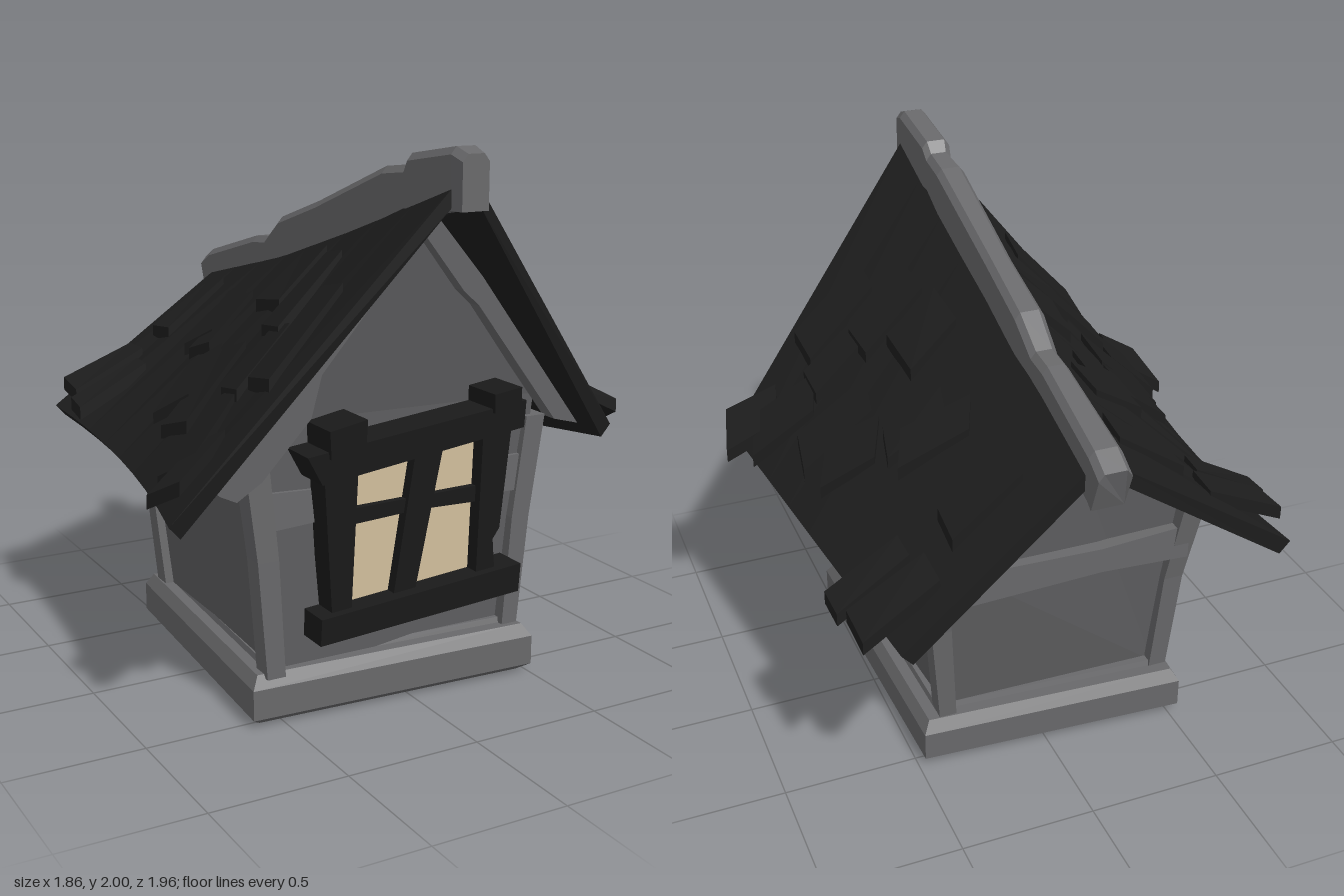
import * as THREE from 'three';

const mat = (name, color) => Object.assign(new THREE.MeshStandardMaterial({ color }), { name });
const lerp = THREE.MathUtils.lerp;

// Closed solid through matching cross-sections, flat faces, wound outward
function loft(rings) {
  const tris = [], n = rings[0].length;
  const cap = r => { for (let i = 1; i < n - 1; i++) tris.push([r[0], r[i], r[i + 1]]); };
  for (let k = 0; k < rings.length - 1; k++) {
    const a = rings[k], b = rings[k + 1];
    for (let i = 0; i < n; i++) {
      const j = (i + 1) % n;
      tris.push([a[i], a[j], b[j]], [a[i], b[j], b[i]]);
    }
  }
  cap([...rings[0]].reverse());
  cap(rings[rings.length - 1]);
  const v = p => new THREE.Vector3(...p);
  const volume = tris.reduce((s, t) => s + v(t[0]).dot(v(t[1]).cross(v(t[2]))), 0);
  if (volume < 0) tris.forEach(t => t.reverse());
  const g = new THREE.BufferGeometry();
  g.setAttribute('position', new THREE.Float32BufferAttribute(tris.flat(2), 3));
  g.computeVertexNormals();
  return g;
}

// Outline in x,y extruded from z0 to z1, leaning along z with height
function prism(points, z0, z1, lean = 0) {
  const shape = new THREE.Shape(points.map(p => new THREE.Vector2(...p)));
  const g = new THREE.ExtrudeGeometry(shape, { depth: z1 - z0, bevelEnabled: false });
  const p = g.attributes.position;
  for (let i = 0; i < p.count; i++) p.setZ(i, p.getZ(i) + z0 + lean * (p.getY(i) - 0.4));
  g.computeVertexNormals();
  return g;
}

const rect = (x0, x1, z0, z1, y) => [[x0, y, z0], [x1, y, z0], [x1, y, z1], [x0, y, z1]];

// Skewed plinth outline, shrunk toward its middle
const corners = [[-0.62, 0.55], [0.51, 0.605], [0.475, -0.55], [-0.54, -0.612]];
const outline = (y, k) => corners.map(([x, z]) => [-0.05 + (x + 0.05) * k, y, z * k]);

// Ridge height along z
const ridgeLine = [[0.93, 1.88], [0.14, 1.62], [-0.34, 1.48], [-0.88, 1.36]];
function ridgeY(z) {
  let i = 0;
  while (i < 2 && z < ridgeLine[i + 1][0]) i++;
  const [a, b] = [ridgeLine[i], ridgeLine[i + 1]];
  return lerp(a[1], b[1], (z - a[0]) / (b[0] - a[0]));
}

// Roof slope: t runs ridge to eave, u runs front to back
const eaves = {
  '1': { x: [0.86, 0.66], bow: 0, y: [0.91, 0.80], back: -0.88 },
  '-1': { x: [-0.93, -0.81], bow: 0.2, y: [0.79, 0.87], back: -0.85 },
};
const ridgeX = side => -0.04 + side * 0.045;
const eaveX = (side, u) => lerp(...eaves[side].x, u) + eaves[side].bow * u * (1 - u);
function roofPoint(side, t, u) {
  const e = eaves[side], rz = lerp(0.93, -0.88, u);
  return [
    lerp(ridgeX(side), eaveX(side, u), t),
    lerp(ridgeY(rz), lerp(...e.y, u), t),
    lerp(rz, lerp(0.58, e.back, u), t),
  ];
}
function roofY(side, x, z) {
  let t = 0.5, u = 0.5;
  for (let i = 0; i < 8; i++) {
    const zf = lerp(0.93, 0.58, t), zb = lerp(-0.88, eaves[side].back, t);
    u = (zf - z) / (zf - zb);
    t = (x - ridgeX(side)) / (eaveX(side, u) - ridgeX(side));
  }
  return roofPoint(side, t, u)[1];
}

// Shingles: x, z, width down the slope, depth, turn, upward kick of the lower end
const shingles = [
  [0.64, -0.72, 0.28, 0.16, -0.04, 0.06], [0.68, -0.56, 0.27, 0.12, -0.06, 0.06], [0.30, -0.64, 0.25, 0.15, 0.02, 0],
  [0.33, -0.28, 0.25, 0.14, 0.42, 0], [0.37, -0.18, 0.21, 0.13, 0.2, 0], [0.57, -0.04, 0.2, 0.17, 0.45, 0],
  [0.58, 0.12, 0.26, 0.17, 0.15, 0], [0.23, 0.12, 0.19, 0.22, -0.08, 0], [0.30, 0.33, 0.24, 0.16, -0.1, 0],
  [0.71, 0.37, 0.24, 0.17, 0.3, 0.01], [0.81, 0.48, 0.2, 0.18, 0.25, 0.06], [0.50, 0.37, 0.2, 0.14, -0.05, 0],
  [0.44, 0.55, 0.27, 0.18, -0.06, 0],
];
function shingle(side, [x, z, w, d, turn, kick]) {
  const g = new THREE.BoxGeometry(w, 1, d).toNonIndexed();
  const p = g.attributes.position;
  // Narrow the upper end slightly and lift the lower end off the roof
  const lower = i => p.getX(i) * side > 0;
  for (let i = 0; i < p.count; i++) if (!lower(i)) p.setZ(i, p.getZ(i) * 0.88);
  const lift = Array.from({ length: p.count }, (_, i) =>
    p.getY(i) > 0 ? (lower(i) ? 0.05 + kick : 0.03) : (lower(i) ? kick : -0.02));
  g.rotateY(-side * turn);
  g.translate(side * x - 0.01, 0, z);
  for (let i = 0; i < p.count; i++) p.setY(i, roofY(side, p.getX(i), p.getZ(i)) + lift[i]);
  g.computeVertexNormals();
  return g;
}

export function createModel() {
  const house = new THREE.Group();
  house.name = 'house';
  const trim = mat('trim grey', 0x68686a), wall = mat('wall grey', 0x5e5e60);
  const roof = mat('roof black', 0x1d1d1d), frame = mat('frame black', 0x1a1a1a);
  const pane = mat('pane tan', 0xd9c5a2);
  const add = (name, geometry, material) => {
    const m = new THREE.Mesh(geometry, material);
    m.name = name;
    house.add(m);
  };

  // Bevelled plinth
  const plinth = [[0, 0.93], [0.03, 1], [0.14, 1], [0.185, 0.95]];
  add('base', loft(plinth.map(([y, k]) => outline(y, k))), trim);
  add('sill', loft([outline(0.17, 0.88), outline(0.205, 0.86)]), trim);

  // Wall shell, narrower at the back, with leaning gables
  add('walls', loft([
    [[-0.53, 0.17, 0.5], [0.44, 0.17, 0.5], [0.53, 1.06, 0.54], [-0.04, 1.76, 0.66], [-0.6, 1.08, 0.54]],
    [[-0.48, 0.17, -0.49], [0.37, 0.17, -0.47], [0.45, 0.93, -0.56], [-0.04, 1.38, -0.57], [-0.55, 0.96, -0.56]],
  ]), wall);

  // Corner posts, flaring upward: rectangles at foot, bend and head
  const posts = [
    ['frontPost', [-0.565, -0.495, 0.55, 0.465], [-0.6, -0.52, 0.555, 0.47], [-0.65, -0.56, 0.56, 0.47], 0.98],
    ['frontPost', [0.41, 0.475, 0.55, 0.465], [0.44, 0.515, 0.555, 0.47], [0.49, 0.57, 0.56, 0.47], 0.98],
    ['backPost', [-0.515, -0.445, -0.535, -0.455], [-0.55, -0.475, -0.56, -0.49], [-0.595, -0.51, -0.61, -0.53], 0.92],
    ['backPost', [0.34, 0.405, -0.52, -0.44], [0.37, 0.445, -0.565, -0.485], [0.41, 0.485, -0.615, -0.53], 0.9],
  ];
  for (const [name, foot, bend, head, h] of posts)
    add(name, loft([rect(...foot, 0.17), rect(...bend, 0.6), rect(...head, h)]), trim);

  // Cross beams on all four walls
  const crossBeam = [[-0.6, 0.7], [-0.2, 0.72], [0.53, 0.7], [0.53, 0.84], [-0.2, 0.82], [-0.6, 0.84]];
  add('frontBeam', prism(crossBeam, 0.45, 0.545), trim);
  add('backBeam', prism(crossBeam.map(([x, y]) => [x * 0.87 - 0.03, y]), -0.585, -0.5), trim);
  const sideBeam = [[0.48, 0.8, 0.9, 0], [0, 0.73, 0.86, 0.4], [-0.1, 0.75, 0.85, 0.5], [-0.55, 0.69, 0.8, 1]];
  for (const [a0, b0, a1, b1] of [[0.42, 0.525, 0.36, 0.455], [-0.5, -0.6, -0.44, -0.55]])
    add('sideBeam', loft(sideBeam.map(([z, lo, hi, k]) => {
      const a = lerp(a0, a1, k), b = lerp(b0, b1, k);
      return [[a, lo, z], [b, lo, z], [b, hi, z], [a, hi, z]];
    })), trim);

  // Gable boards
  add('frontGableLeft', prism([[-0.05, 1.78], [-0.05, 1.7], [0.13, 1.49], [0.2, 1.43], [0.58, 0.97],
    [0.69, 0.94], [0, 1.78]], 0.46, 0.53, 0.13), trim);
  add('frontGableRight', prism([[-0.05, 1.78], [-0.1, 1.76], [-0.75, 0.87], [-0.69, 0.84], [-0.6, 0.9],
    [-0.43, 1.1], [-0.4, 1.25], [-0.05, 1.7]], 0.46, 0.53, 0.13), trim);
  add('backGableLeft', prism([[-0.04, 1.4], [-0.04, 1.3], [0.25, 1.04], [0.48, 0.82], [0.6, 0.84]],
    -0.62, -0.54), trim);
  add('backGableRight', prism([[-0.04, 1.4], [-0.7, 0.89], [-0.62, 0.85], [-0.32, 1.09], [-0.04, 1.3]],
    -0.62, -0.54), trim);

  // Roof slabs and shingles
  for (const side of [1, -1]) {
    const sections = [];
    for (let k = 0; k <= 8; k++) {
      const top = roofPoint(side, 0, k / 8), low = roofPoint(side, 1, k / 8);
      sections.push([top, low, [low[0] - side * 0.04, low[1] - 0.045, low[2]], [top[0], top[1] - 0.06, top[2]]]);
    }
    add('roofSlab', loft(sections), roof);
    for (const s of shingles) add('shingle', shingle(side, s), roof);
  }

  // Ridge beam: z, top height, bottom height, half width
  const ridge = [[0.98, 1.98, 1.8, 0.05], [0.92, 2, 1.8, 0.055], [0.66, 1.96, 1.75, 0.055], [0.63, 1.92, 1.74, 0.05],
    [0.5, 1.905, 1.69, 0.055], [0.02, 1.74, 1.53, 0.05], [-0.27, 1.65, 1.45, 0.055], [-0.4, 1.56, 1.41, 0.05],
    [-0.5, 1.55, 1.38, 0.05], [-0.9, 1.445, 1.26, 0.06], [-0.98, 1.4, 1.24, 0.06]];
  add('ridgeBeam', loft(ridge.map(([z, hi, lo, w]) => {
    const c = -0.04, low = z < -0.95 ? -0.93 : z;
    return [[c - w, lo, low], [c + w, lo, low], [c + w, hi - 0.025, z], [c + w - 0.02, hi, z],
      [c - w + 0.02, hi, z], [c - w, hi - 0.025, z]];
  })), trim);

  // Crooked window
  const L = 0.1;
  add('windowPane', prism([[-0.3, 0.36], [0.28, 0.4], [0.28, 0.99], [-0.3, 0.93]], 0.54, 0.548, L), pane);
  const bars = [
    ['lintel', 0.65, [[-0.43, 0.89], [0.37, 0.99], [0.37, 1.09], [-0.49, 0.995]]],
    ['lintelBlock', 0.665, [[-0.41, 0.98], [-0.28, 1.0], [-0.28, 1.105], [-0.42, 1.08]]],
    ['lintelBlock', 0.665, [[0.23, 1.06], [0.34, 1.07], [0.335, 1.145], [0.225, 1.13]]],
    ['windowSill', 0.64, [[-0.4, 0.29], [0.42, 0.345], [0.42, 0.455], [-0.4, 0.39]]],
    ['jamb', 0.605, [[-0.34, 0.37], [-0.265, 0.37], [-0.27, 0.94], [-0.4, 0.91]]],
    ['jamb', 0.605, [[0.25, 0.41], [0.33, 0.43], [0.31, 0.56], [0.335, 0.6], [0.35, 1.0], [0.23, 0.98]]],
    ['mullion', 0.59, [[-0.09, 0.38], [0, 0.4], [0.08, 0.97], [-0.035, 0.95]]],
    ['crossbar', 0.575, [[-0.3, 0.7], [0, 0.715], [0.33, 0.705], [0.33, 0.77], [0, 0.765], [-0.3, 0.76]]],
  ];
  for (const [name, front, shape] of bars) add(name, prism(shape, 0.5, front, L), frame);

  return house;
}
